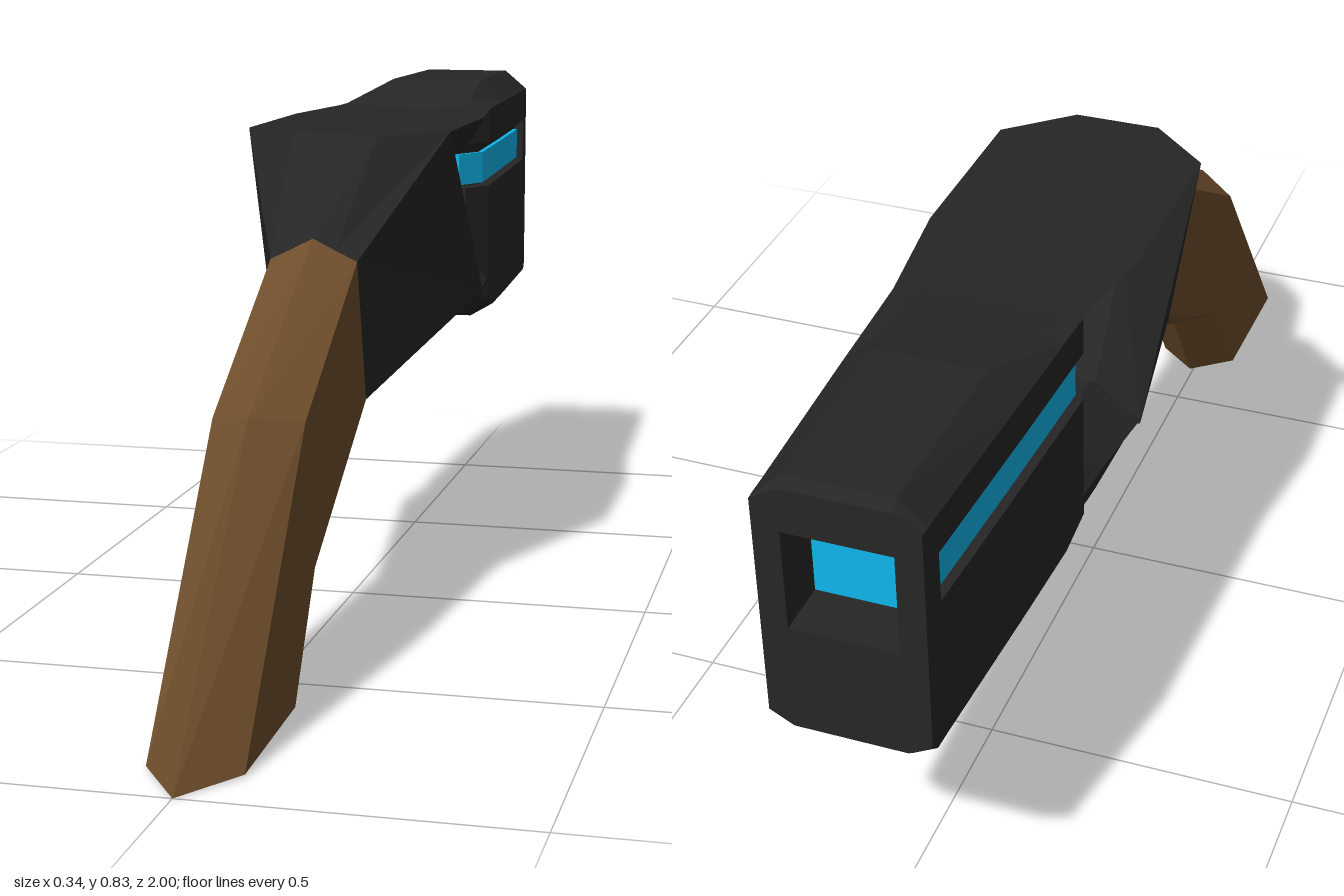
import * as THREE from 'three';

const BLACK = 0x262626, BROWN = 0x6f4e2c, BLUE = 0x10b6ec;

function material(color, flat = true) {
  return new THREE.MeshStandardMaterial({ color, flatShading: flat, side: THREE.DoubleSide });
}

// Complete a half ring (top centre, +x side, bottom centre) with its mirror
function mirror(half) {
  const other = half.filter(p => p[0] > 0).reverse().map(([x, y, z]) => [-x, y, z]);
  return [...half, ...other];
}

// Half ring given as [x, y] pairs, placed at one z
const at = (z, pts) => mirror(pts.map(([x, y]) => [x, y, z]));

// Skin a list of rings, ordered from the rear (+z) to the muzzle (-z)
function loft(rings, capStart = true, capEnd = true) {
  const pos = [];
  const tri = (a, b, c) => pos.push(...a, ...b, ...c);
  const n = rings[0].length;
  for (let i = 0; i < rings.length - 1; i++) {
    for (let j = 0; j < n; j++) {
      const k = (j + 1) % n;
      const a = rings[i][j], b = rings[i][k], c = rings[i + 1][k], d = rings[i + 1][j];
      tri(a, b, c);
      tri(a, c, d);
    }
  }
  const cap = (ring, flip) => {
    const m = [0, 1, 2].map(q => ring.reduce((s, p) => s + p[q], 0) / n);
    ring.forEach((p, j) => {
      const r = ring[(j + 1) % n];
      if (flip) tri(m, r, p); else tri(m, p, r);
    });
  };
  if (capStart) cap(rings[0], true);
  if (capEnd) cap(rings[rings.length - 1], false);
  const g = new THREE.BufferGeometry();
  g.setAttribute('position', new THREE.Float32BufferAttribute(pos, 3));
  g.computeVertexNormals();
  return g;
}

export function createModel() {
  const group = new THREE.Group();
  const add = (name, geometry, color, flat) => {
    const mesh = new THREE.Mesh(geometry, material(color, flat));
    mesh.name = name;
    group.add(mesh);
    return mesh;
  };

  // Bent wooden handle with a ridge along its back and its inside
  add('handle', loft([
    [[0, 0, 1], [0.07, 0.003, 0.9], [0.07, 0.012, 0.64], [0, 0.015, 0.58]],
    [[0, 0.435, 0.63], [0.07, 0.42, 0.577], [0.07, 0.19, 0.525], [0, 0.19, 0.465]],
    [[0, 0.645, 0.265], [0.07, 0.61, 0.26], [0.07, 0.38, 0.2], [0, 0.385, 0.145]],
  ].map(mirror)), BROWN);

  // Rear body, flaring out from the handle to the window
  add('rearBody', loft([
    [[0, 0.645, 0.265], [0.035, 0.628, 0.263], [0.07, 0.61, 0.26], [0.07, 0.38, 0.2], [0, 0.385, 0.145]],
    [[0, 0.795, 0.12], [0.07, 0.795, 0.12], [0.17, 0.795, 0.03], [0.17, 0.49, -0.27], [0, 0.49, -0.27]],
    [[0, 0.72, -0.15], [0.05, 0.72, -0.15], [0.1, 0.72, -0.15], [0.1, 0.56, -0.28], [0, 0.56, -0.28]],
  ].map(mirror)), BLACK);

  // Top bridge over the window, bevelled underneath
  const bridge = (z, w, inner) => at(z, [[0, 0.795], [w, 0.795], [inner, 0.72], [0, 0.72]]);
  add('topBridge', loft([
    bridge(0.12, 0.07, 0.03), bridge(0.03, 0.17, 0.09),
    bridge(-0.27, 0.17, 0.1), bridge(-0.47, 0.144, 0.1),
  ]), BLACK);

  // Lower jaw under the window
  const jaw = (z, w, side, bw, b) => at(z, [[0, 0.56], [0.09, 0.56], [w, side], [bw, b], [0, b]]);
  add('lowerJaw', loft([
    jaw(-0.26, 0.17, 0.495, 0.16, 0.487), jaw(-0.4, 0.152, 0.49, 0.14, 0.447),
    jaw(-0.47, 0.144, 0.48, 0.125, 0.425),
  ]), BLACK);

  // Barrel with a groove in each side
  const section = (z, w, top, tw, bottom, groove) => at(z, [
    [0, top], [tw, top], [w, 0.795], [w, 0.735], [w - groove, 0.718], [w - groove, 0.657],
    [w, 0.655], [w, Math.max(0.425, bottom + 0.02)], [w * 0.7, bottom], [0, bottom],
  ]);
  add('barrel', loft([
    section(-0.4, 0.112, 0.795, 0.09, 0.45, 0.02),
    section(-0.46, 0.144, 0.795, 0.1, 0.425, 0.02),
    section(-0.53, 0.141, 0.805, 0.095, 0.4, 0.02),
    section(-0.68, 0.135, 0.832, 0.085, 0.397, 0.02),
    section(-0.955, 0.122, 0.832, 0.08, 0.397, 0.02),
    section(-0.955, 0.122, 0.832, 0.08, 0.397, 0),
    section(-0.985, 0.121, 0.832, 0.08, 0.405, 0),
    section(-1, 0.12, 0.82, 0.078, 0.417, 0),
  ], true, false), BLACK);

  // Muzzle plate with a square opening
  const face = new THREE.Shape([
    [-0.078, 0.82], [-0.12, 0.795], [-0.12, 0.437], [-0.084, 0.417],
    [0.084, 0.417], [0.12, 0.437], [0.12, 0.795], [0.078, 0.82],
  ].map(p => new THREE.Vector2(...p)));
  const hole = [[0.08, 0.75], [0.08, 0.59], [-0.08, 0.59], [-0.08, 0.75]];
  face.holes.push(new THREE.Path(hole.map(p => new THREE.Vector2(...p))));
  const plate = new THREE.ShapeGeometry(face);
  plate.rotateY(Math.PI);
  plate.translate(0, 0, -1);
  add('muzzlePlate', plate, BLACK);

  // Recess walls and the glowing panel at their end
  const square = z => hole.map(([x, y]) => [x, y, z]).reverse();
  add('muzzleRecess', loft([square(-0.915), square(-1)], false, false), BLACK);
  const panel = new THREE.PlaneGeometry(0.16, 0.16);
  panel.rotateY(Math.PI);
  panel.translate(0, 0.67, -0.915);
  add('muzzlePanel', panel, BLUE);

  // Glowing strips in the grooves, bent inward at the rear
  for (const s of [1, -1]) {
    const strip = (z, x) => {
      const ring = [[x - 0.02, 0.716], [x, 0.716], [x, 0.66], [x - 0.02, 0.66]]
        .map(([px, py]) => [s * px, py, z]);
      return s > 0 ? ring : ring.reverse();
    };
    add(s > 0 ? 'leftStrip' : 'rightStrip',
      loft([strip(-0.398, 0.1), strip(-0.46, 0.132), strip(-0.68, 0.123), strip(-0.954, 0.11)]), BLUE);
  }

  // Energy orb in the window
  const orb = add('orb', new THREE.SphereGeometry(0.083, 32, 16), BLUE, false);
  orb.position.set(0, 0.645, -0.315);

  return group;
}
